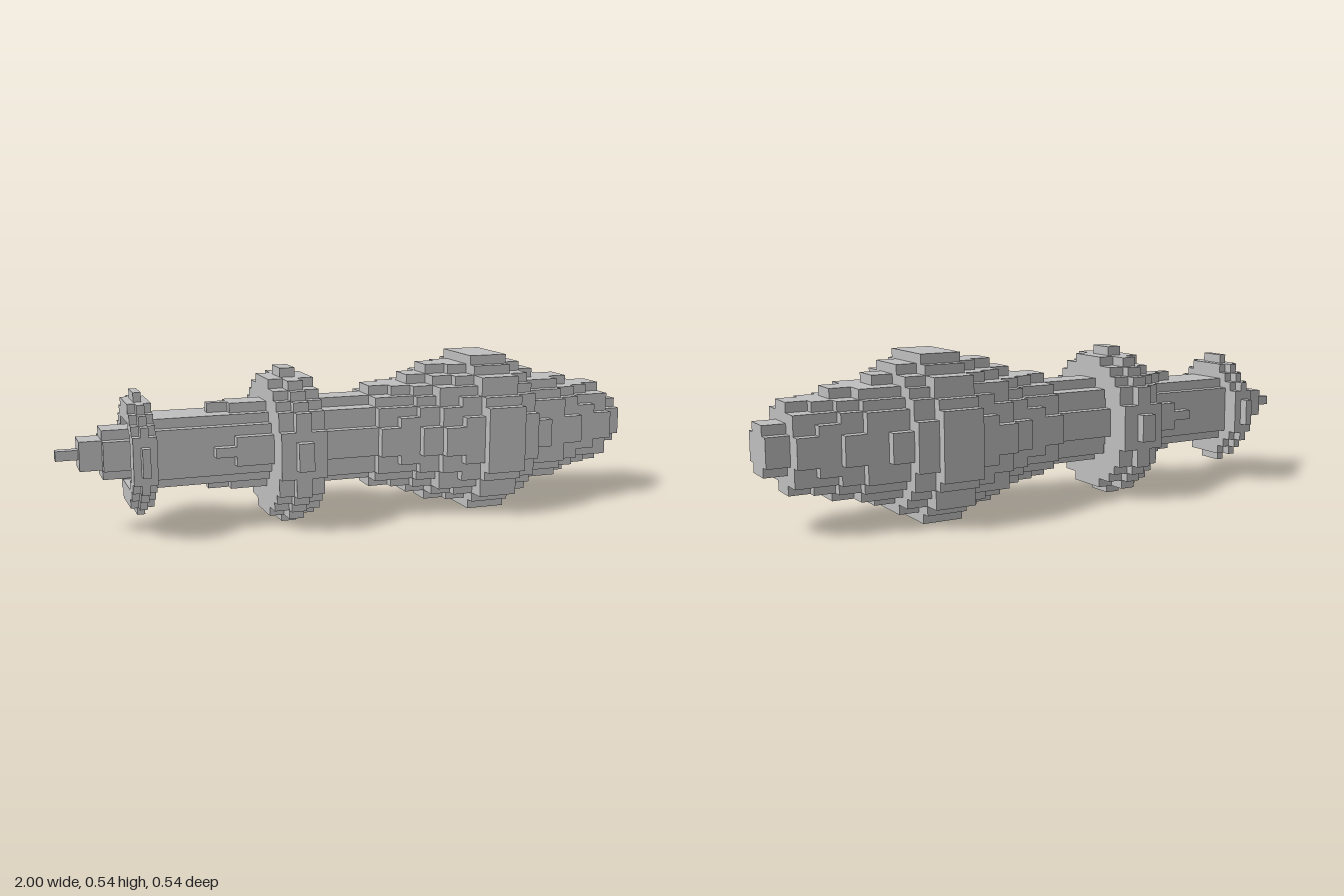
import * as THREE from 'three';

const AXIS_Y = 0.2685; // height of the long axis
const CELL = 0.0316; // block size of the shaft and handle
const RING_CELL = 0.0304; // block size of the two collars

// Corner points of a block-stepped disc; r2 is the squared radius in blocks.
function steppedDisc(r2, cell) {
  const n = Math.floor(Math.sqrt(r2));
  const right = [];
  for (let row = -n; row <= n; row++) {
    const half = (Math.floor(Math.sqrt(r2 - row * row)) + 0.5) * cell;
    const last = right[right.length - 1];
    if (last && Math.abs(last.x - half) < 1e-6) last.y = (row + 0.5) * cell;
    else {
      right.push(new THREE.Vector2(half, (row - 0.5) * cell));
      right.push(new THREE.Vector2(half, (row + 0.5) * cell));
    }
  }
  const left = right.map((p) => new THREE.Vector2(-p.x, p.y)).reverse();
  return [...right, ...left];
}

// One stepped slice running along x, optionally with a stepped hole.
function slice(name, x0, x1, r2, material, cell = CELL, y = AXIS_Y, holeR2 = 0) {
  const shape = new THREE.Shape(steppedDisc(r2, cell));
  if (holeR2) shape.holes.push(new THREE.Path(steppedDisc(holeR2, cell).reverse()));
  const geometry = new THREE.ExtrudeGeometry(shape, { depth: x1 - x0, bevelEnabled: false });
  geometry.rotateY(Math.PI / 2);
  const mesh = new THREE.Mesh(geometry, material);
  mesh.name = name;
  mesh.position.set(x0, y, 0);
  return mesh;
}

// Consecutive slices: each entry is [start x, squared radius in blocks].
function stack(name, entries, end, material) {
  const group = new THREE.Group();
  group.name = name;
  entries.forEach(([x, r2], i) => {
    const next = i + 1 < entries.length ? entries[i + 1][0] : end;
    group.add(slice(name + 'Slice', x, next, r2, material));
  });
  return group;
}

export function createModel() {
  const grey = new THREE.MeshStandardMaterial({ color: 0xc0c0c0 });
  grey.name = 'plain grey';
  const model = new THREE.Group();
  model.name = 'steppedTool';

  // Pointed tip, running through the front collar
  model.add(stack('tip', [[-1, 0], [-0.93, 2], [-0.86, 5]], -0.73, grey));

  // Shaft, thickening towards the guard
  model.add(stack('shaft', [[-0.733, 13], [-0.517, 16], [-0.45, 17]], -0.17, grey));

  // Bulbous handle
  model.add(stack('handle', [
    [-0.17, 18], [0.033, 26], [0.102, 30], [0.17, 37], [0.24, 50], [0.31, 54],
    [0.38, 73], [0.515, 54], [0.583, 38], [0.652, 34], [0.72, 26], [0.79, 20],
    [0.858, 18], [0.926, 5],
  ], 1, grey));

  // Front collar: three rings
  const collar = new THREE.Group();
  collar.name = 'frontCollar';
  const collarX = [-0.781, -0.757, -0.732, -0.706];
  [30, 38, 30].forEach((r2, i) => {
    collar.add(slice('collarRing', collarX[i], collarX[i + 1], r2, grey, RING_CELL, 0.264, 13));
  });
  model.add(collar);

  // Guard between shaft and handle: three discs
  const guard = new THREE.Group();
  guard.name = 'guard';
  const guardX = [-0.327, -0.278, -0.227, -0.174];
  [54, 66, 54].forEach((r2, i) => {
    guard.add(slice('guardDisc', guardX[i], guardX[i + 1], r2, grey, RING_CELL, 0.2584));
  });
  model.add(guard);

  return model;
}
